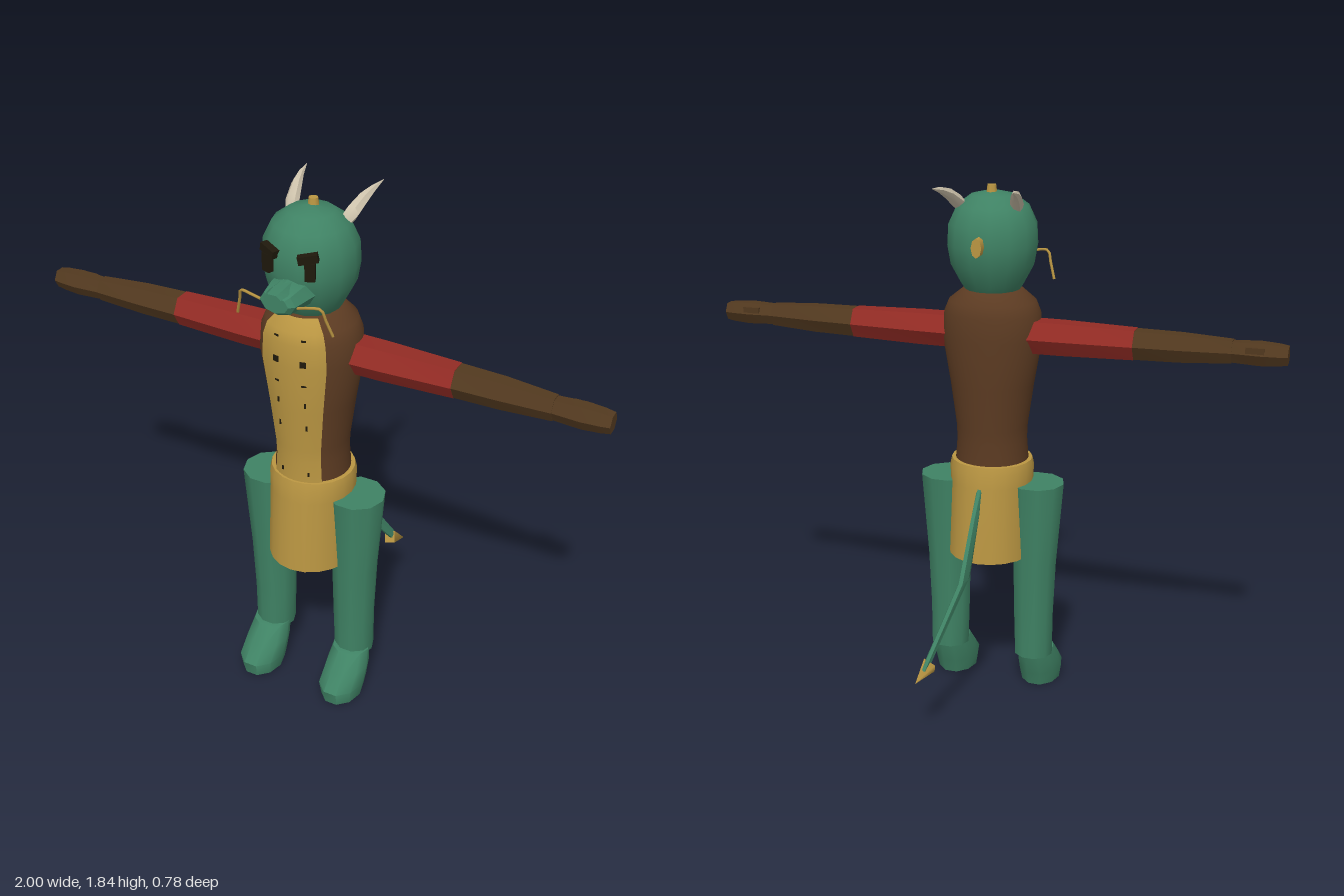
import * as THREE from 'three';
import { toCreasedNormals } from 'three/addons/utils/BufferGeometryUtils.js';

const mat = (name, color, side = THREE.FrontSide) => {
  const m = new THREE.MeshStandardMaterial({ color, side });
  m.name = name;
  return m;
};

// Skin over elliptical rings [cx, y, cz, rx, rz], listed from low to high y.
function loft(rings, n, { start = 0, arc = Math.PI * 2, caps = true, crease = 0.9 } = {}) {
  const pos = [], idx = [], w = n + 1;
  for (const [cx, y, cz, rx, rz] of rings) {
    for (let i = 0; i <= n; i++) {
      const a = start + (arc * i) / n;
      pos.push(cx + rx * Math.cos(a), y, cz + rz * Math.sin(a));
    }
  }
  for (let r = 0; r < rings.length - 1; r++) {
    for (let i = 0; i < n; i++) {
      const a = r * w + i, b = a + w;
      idx.push(a, b, a + 1, a + 1, b, b + 1);
    }
  }
  if (caps) {
    const last = rings.length - 1, c = pos.length / 3;
    pos.push(...rings[0].slice(0, 3), ...rings[last].slice(0, 3));
    for (let i = 0; i < n; i++) {
      idx.push(c, i, i + 1, c + 1, last * w + i + 1, last * w + i);
    }
  }
  const g = new THREE.BufferGeometry();
  g.setAttribute('position', new THREE.Float32BufferAttribute(pos, 3));
  g.setIndex(idx);
  return toCreasedNormals(g, crease);
}

export function createModel() {
  const group = new THREE.Group();
  const green = mat('greenSkin', 0x3f8264);
  const gold = mat('gold', 0xba9642, THREE.DoubleSide);
  const brown = mat('brownCloth', 0x5c3b22);
  const leather = mat('darkLeather', 0x52391f);
  const red = mat('redSleeve', 0x922b24);
  const bone = mat('bone', 0xcdc2ab);
  const black = mat('darkEye', 0x1f190c);
  const Z = 0.147;

  const add = (name, geo, material, x = 0, y = 0, z = 0) => {
    const m = new THREE.Mesh(geo, material);
    m.name = name;
    m.position.set(x, y, z);
    group.add(m);
    return m;
  };

  // Torso and gold front panel share one profile: [y, rx, rz]
  const body = [[0.85, 0.13, 0.125], [0.95, 0.122, 0.122], [1.0, 0.124, 0.125], [1.15, 0.145, 0.137],
    [1.32, 0.174, 0.15], [1.4, 0.167, 0.147], [1.44, 0.15, 0.138], [1.48, 0.1, 0.106]];
  add('torso', loft(body.map(([y, a, b]) => [0, y, Z, a, b]), 36), brown);
  const deg = Math.PI / 180;
  add('frontPanel', loft(body.map(([y, a, b]) => [0, y, Z, a + 0.006, b + 0.006]), 8,
    { start: 50 * deg, arc: 80 * deg, caps: false }), gold);

  // Fastenings on the panel
  const panelZ = (x, y) => {
    const i = body.findIndex(p => p[0] >= y), p = body[i - 1], q = body[i];
    const t = (y - p[0]) / (q[0] - p[0]);
    const rx = p[1] + (q[1] - p[1]) * t + 0.006, rz = p[2] + (q[2] - p[2]) * t + 0.006;
    return Z + rz * Math.sqrt(1 - (x / rx) ** 2);
  };
  const fastenings = [[1.42, 0.016, 0.005], [1.34, 0.02, 0.02], [1.26, 0.016, 0.005],
    [1.185, 0.006, 0.018], [1.095, 0.006, 0.018], [0.91, 0.006, 0.014]];
  for (const s of [-1, 1]) {
    for (const [y, w, h] of fastenings) {
      const x = s * 0.048;
      add('fastening', new THREE.BoxGeometry(w, h, 0.005), black, x, y, panelZ(x, y)).rotation.y = s * 0.3;
    }
  }

  // Skirt, open at the bottom
  add('skirt', loft([[0, 0.53, Z, 0.152, 0.167], [0, 0.8, Z, 0.145, 0.15], [0, 0.85, Z, 0.148, 0.145],
    [0, 0.878, Z, 0.142, 0.138], [0, 0.88, Z, 0.11, 0.11]], 20, { caps: false }), gold);

  // Head
  const headProfile = [[1.45, 0.075], [1.5, 0.108], [1.565, 0.143], [1.63, 0.154], [1.7, 0.15],
    [1.76, 0.122], [1.795, 0.075], [1.81, 0.01]];
  add('head', loft(headProfile.map(([y, r]) => [0, y, Z, r, r]), 14, { crease: 1.2 }), green);
  add('crownStud', new THREE.CylinderGeometry(0.015, 0.02, 0.035, 8), gold, 0, 1.812, 0.133);
  const backStud = add('backStud', new THREE.CylinderGeometry(0.033, 0.033, 0.04, 8), gold, 0, 1.645, -0.013);
  backStud.rotation.x = Math.PI / 2;
  backStud.scale.x = 0.55;

  // Snout and nose, lofted forwards along z
  const forward = (rings, n) => loft(rings.map(([y, z, a, b]) => [0, z, -y, a, b]), n, { crease: 0.5 })
    .rotateX(Math.PI / 2);
  add('snout', forward([[1.575, 0.25, 0.08, 0.05], [1.578, 0.3, 0.075, 0.048], [1.575, 0.36, 0.062, 0.04],
    [1.575, 0.375, 0.045, 0.028]], 8), green);
  add('nose', forward([[1.607, 0.29, 0.03, 0.018], [1.606, 0.35, 0.037, 0.018],
    [1.605, 0.393, 0.03, 0.014]], 6), green);

  for (const s of [-1, 1]) {
    // Eyes and brows
    const brow = add('brow', new THREE.BoxGeometry(0.062, 0.026, 0.025), black, s * 0.066, 1.705, 0.288);
    brow.rotation.set(0, s * 0.4, s * 0.2);
    add('eye', new THREE.BoxGeometry(0.032, 0.06, 0.025), black, s * 0.072, 1.665, 0.287).rotation.y = s * 0.4;

    // Horns, lofted backwards along z: [x, y, z, radius]
    const horn = [[0.092, 1.755, 0.11, 0.02], [0.103, 1.777, 0.08, 0.024], [0.116, 1.808, 0.03, 0.019],
      [0.126, 1.825, -0.015, 0.011], [0.135, 1.836, -0.07, 0.001]];
    add('horn', loft(horn.map(([x, y, z, r]) => [s * x, -z, y, r, r]), 6).rotateX(-Math.PI / 2), bone);

    // Whiskers
    const path = new THREE.CatmullRomCurve3([[0.06, 1.565, 0.345], [0.1, 1.578, 0.35], [0.138, 1.578, 0.342],
      [0.15, 1.54, 0.333], [0.167, 1.485, 0.32]].map(([x, y, z]) => new THREE.Vector3(s * x, y, z)));
    add('whisker', new THREE.TubeGeometry(path, 12, 0.005, 5), gold);

    // Arms: six-sided segments, [x, z, radius y, radius z]
    const segment = (name, rings, material) => add(name,
      loft(rings.map(([x, z, a, b]) => [0, x, z, a, b]), 6, { start: Math.PI / 2, crease: 0.2 })
        .rotateZ(-s * Math.PI / 2), material, 0, 1.328, 0);
    segment('sleeve', [[0.12, 0.134, 0.063, 0.071], [0.25, 0.135, 0.063, 0.068], [0.5, 0.135, 0.057, 0.056]], red);
    segment('forearm', [[0.5, 0.135, 0.055, 0.055], [0.65, 0.138, 0.053, 0.05], [0.82, 0.143, 0.043, 0.037]], leather);
    segment('hand', [[0.82, 0.143, 0.039, 0.036], [0.91, 0.143, 0.043, 0.042], [0.97, 0.143, 0.039, 0.037],
      [1.0, 0.143, 0.034, 0.032]], leather);
    add('thumb', new THREE.BoxGeometry(0.06, 0.02, 0.02), leather, s * 0.895, 1.343, 0.114);

    // Legs and feet
    add('leg', loft([[s * 0.16, 0.14, 0.147, 0.07, 0.069], [s * 0.158, 0.3, 0.147, 0.073, 0.072],
      [s * 0.16, 0.5, 0.147, 0.079, 0.08], [s * 0.164, 0.8, 0.147, 0.098, 0.098]], 10), green);
    add('foot', loft([[s * 0.163, 0, 0.243, 0.07, 0.093], [s * 0.163, 0.05, 0.24, 0.078, 0.105],
      [s * 0.163, 0.1, 0.205, 0.076, 0.086], [s * 0.162, 0.156, 0.173, 0.066, 0.064]], 10), green);
  }

  // Tail, flattened from side to side, with a gold point
  add('tail', loft([[0.08, 0.265, -0.338, 0.012, 0.02], [0, 0.53, -0.157, 0.014, 0.046],
    [0, 0.72, -0.04, 0.013, 0.03], [0, 0.81, 0.008, 0.008, 0.005]], 6, { crease: 0.4 }), green);
  const tip = add('tailTip', new THREE.ConeGeometry(0.032, 0.085, 4), gold, 0.084, 0.252, -0.353);
  tip.quaternion.setFromUnitVectors(new THREE.Vector3(0, 1, 0), new THREE.Vector3(0.025, -0.04, -0.07).normalize());

  return group;
}
